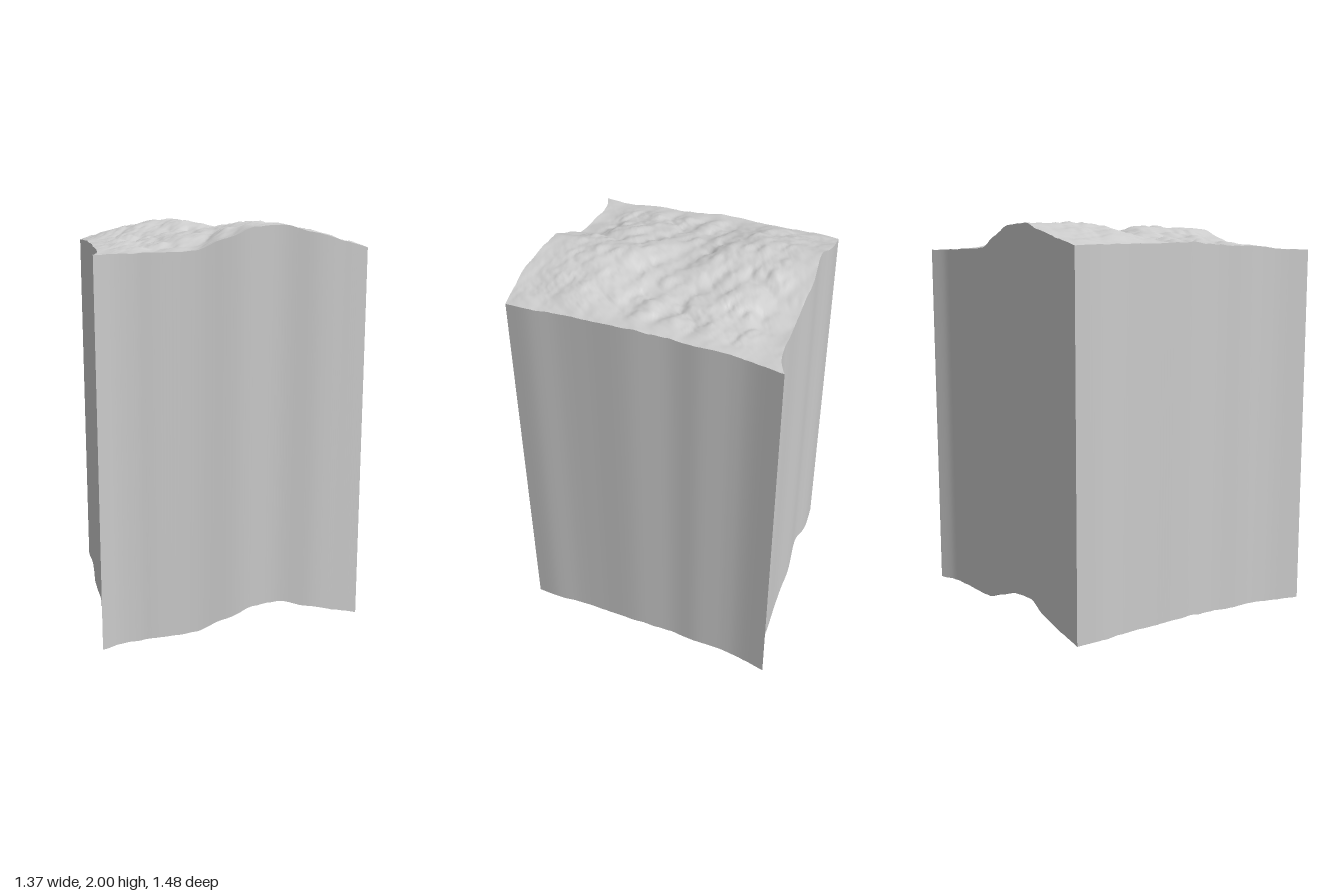
import * as THREE from 'three';

const N = 110;        // grid cells along each side of the rock surface
const LOW = 1.862;    // lowest point of the top, and the thickness of the block

// Smooth curve through [x, z] points
const curve = pts => new THREE.SplineCurve(pts.map(p => new THREE.Vector2(...p)));
const front = curve([[-0.685, 0.74], [-0.6, 0.70], [-0.5, 0.68], [-0.4, 0.675], [-0.2, 0.66],
  [0, 0.665], [0.2, 0.64], [0.38, 0.65], [0.52, 0.635], [0.63, 0.62]]);
const right = curve([[0.63, 0.62], [0.642, 0.5], [0.636, 0.35], [0.64, 0.2], [0.65, 0], [0.64, -0.2],
  [0.65, -0.35], [0.647, -0.5], [0.655, -0.6], [0.685, -0.74]]);

// Heights above 1.8 for x = -0.66 ... 0.66 at the front, between, and in the middle
const rows = {
  edge: [0.08, 0.077, 0.078, 0.085, 0.13, 0.175, 0.178, 0.148, 0.115, 0.083],
  between: [0.09, 0.1, 0.112, 0.13, 0.155, 0.178, 0.185, 0.165, 0.13, 0.095],
  middle: [0.105, 0.108, 0.118, 0.13, 0.14, 0.14, 0.13, 0.118, 0.108, 0.105],
};

// Seeded value noise
function hash(i, j) {
  const s = Math.sin(i * 127.1 + j * 311.7) * 43758.5453;
  return s - Math.floor(s);
}
function noise(x, y) {
  const i = Math.floor(x), j = Math.floor(y);
  const sx = THREE.MathUtils.smootherstep(x - i, 0, 1);
  const sy = THREE.MathUtils.smootherstep(y - j, 0, 1);
  const { lerp } = THREE.MathUtils;
  return lerp(lerp(hash(i, j), hash(i + 1, j), sx), lerp(hash(i, j + 1), hash(i + 1, j + 1), sx), sy);
}
// Rounded lumps with sharper creases between them
function lumps(x, z) {
  let sum = 0, amp = 1, f = 4.5;
  for (let o = 0; o < 4; o++, amp *= 0.48, f *= 2.05) {
    sum += amp * (Math.abs(2 * noise(x * f + 0.5 * z * f + 9 * o, z * f * 1.3 - 0.4 * x * f + 5) - 1) - 0.4);
  }
  return sum;
}

function sample(row, x) {
  const t = THREE.MathUtils.clamp((x + 0.66) / 1.32, 0, 1) * (row.length - 1);
  const i = Math.min(Math.floor(t), row.length - 2);
  return THREE.MathUtils.lerp(row[i], row[i + 1], THREE.MathUtils.smoothstep(t - i, 0, 1) * 0.4 + (t - i) * 0.6);
}
// The terrain repeats itself after half a turn about y
function rawHeight(x, z) {
  const s = z < 0 ? -1 : 1, t = Math.min(Math.abs(z) / 0.325, 2);
  const a = t < 1 ? rows.middle : rows.between, b = t < 1 ? rows.between : rows.edge;
  const k = THREE.MathUtils.smoothstep(t < 1 ? t : t - 1, 0, 1);
  const base = THREE.MathUtils.lerp(sample(a, s * x), sample(b, s * x), k);
  const rim = Math.max(Math.abs(x), Math.abs(z));
  const strength = 0.017 * (1 - 0.7 * THREE.MathUtils.smoothstep(rim, 0.45, 0.64));
  return base + strength * (lumps(x, z) + lumps(-x, -z));
}

// Fill the four wavy borders: u runs left to right, v runs back to front
function plan(u, v) {
  const f = front.getPoint(u), b = front.getPoint(1 - u).negate();
  const r = right.getPoint(1 - v), l = right.getPoint(v).negate();
  const fl = front.getPoint(0), fr = front.getPoint(1);
  const mix = k => f[k] * v + b[k] * (1 - v) + r[k] * u + l[k] * (1 - u)
    - (v * (fl[k] * (1 - u) + fr[k] * u) - (1 - v) * (fr[k] * (1 - u) + fl[k] * u));
  return [mix('x'), mix('y')];
}

// Grid of surface points, with heights fitted to the range LOW ... 2
function surfacePoints() {
  const pts = [];
  for (let j = 0; j <= N; j++) {
    for (let i = 0; i <= N; i++) {
      const [x, z] = plan(i / N, j / N);
      pts.push(new THREE.Vector3(x, rawHeight(x, z), z));
    }
  }
  const ys = pts.map(p => p.y), lo = Math.min(...ys), hi = Math.max(...ys);
  pts.forEach(p => { p.y = THREE.MathUtils.mapLinear(p.y, lo, hi, LOW, 2); });
  return pts;
}

export function createModel() {
  const group = new THREE.Group();
  group.name = 'rockBlock';
  const material = new THREE.MeshStandardMaterial({ color: 0xcccccc, roughness: 0.9 });
  const pts = surfacePoints();
  const add = (name, geometry) => {
    geometry.computeVertexNormals();
    const mesh = new THREE.Mesh(geometry, material);
    mesh.name = name;
    group.add(mesh);
  };

  // Rough top, and the same surface lowered and flipped as the underside
  for (const [name, drop] of [['roughTop', 0], ['roughUnderside', LOW]]) {
    const geo = new THREE.PlaneGeometry(1, 1, N, N);
    pts.forEach((p, i) => geo.attributes.position.setXYZ(i, p.x, p.y - drop, p.z));
    if (drop) geo.setIndex(Array.from(geo.index.array).reverse());
    add(name, geo);
  }

  // Upright walls hung from each border of the top
  const walls = {
    frontWall: i => [i, N],
    rightWall: i => [N, N - i],
    backWall: i => [N - i, 0],
    leftWall: i => [0, i],
  };
  for (const [name, cell] of Object.entries(walls)) {
    const geo = new THREE.PlaneGeometry(1, 1, N, 1);
    for (let i = 0; i <= N; i++) {
      const [c, r] = cell(i), p = pts[r * (N + 1) + c];
      geo.attributes.position.setXYZ(i, p.x, p.y, p.z);
      geo.attributes.position.setXYZ(N + 1 + i, p.x, p.y - LOW, p.z);
    }
    add(name, geo);
  }
  return group;
}
